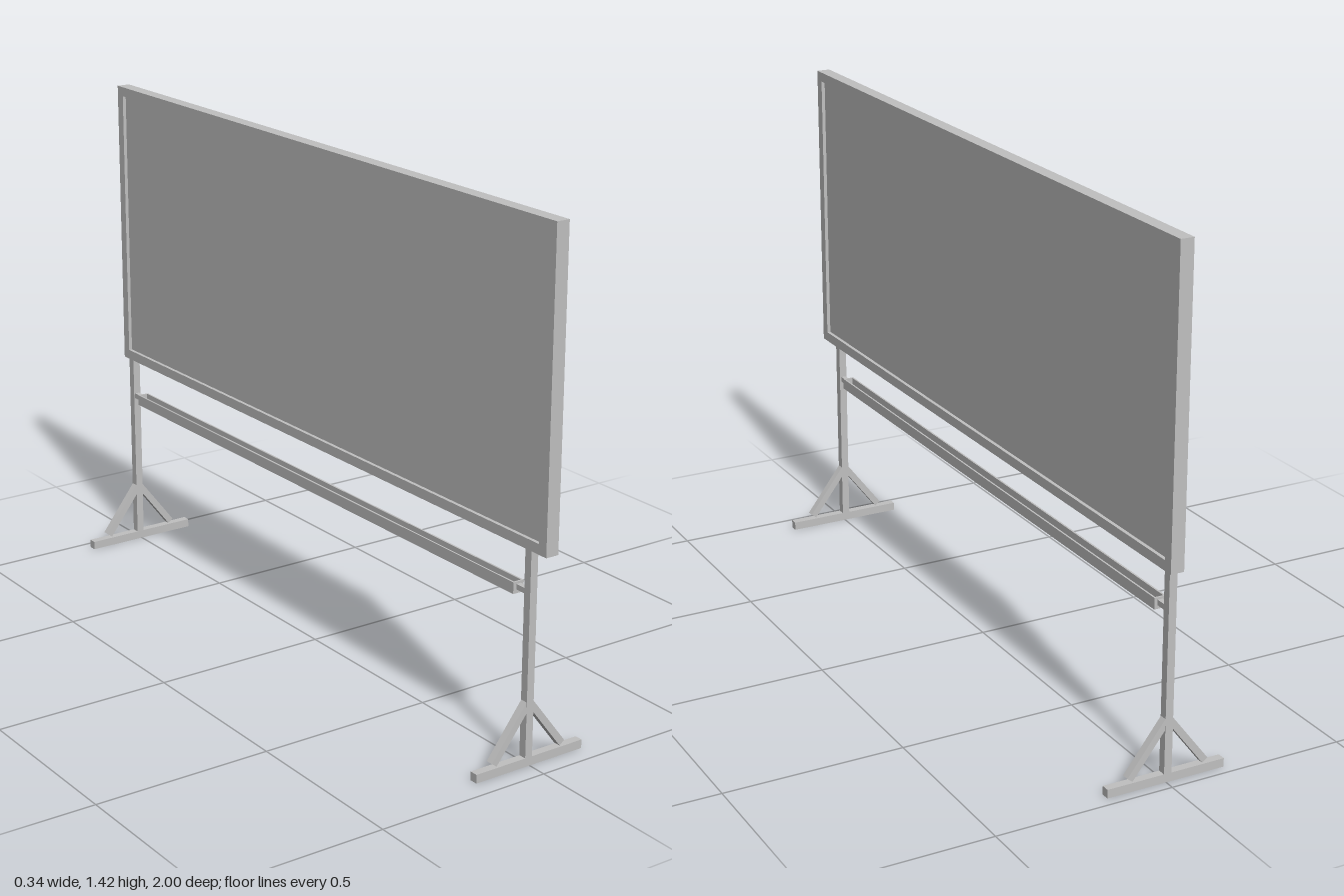
import * as THREE from 'three';

export function createModel() {
  const model = new THREE.Group();
  model.name = 'freestandingBoard';
  const grey = new THREE.MeshStandardMaterial({ color: 0xc0c0c0 });
  grey.name = 'plain grey';

  // box given by its minimum and maximum on each axis
  function box(name, parent, [x0, x1], [y0, y1], [z0, z1]) {
    const mesh = new THREE.Mesh(new THREE.BoxGeometry(x1 - x0, y1 - y0, z1 - z0), grey);
    mesh.position.set((x0 + x1) / 2, (y0 + y1) / 2, (z0 + z1) / 2);
    mesh.name = name;
    parent.add(mesh);
    return mesh;
  }

  function rectangle(target, w, y0, y1) {
    target.moveTo(-w, y0);
    target.lineTo(w, y0);
    target.lineTo(w, y1);
    target.lineTo(-w, y1);
    target.closePath();
    return target;
  }

  // board: a frame with the panel set back on both sides
  const board = new THREE.Group();
  board.name = 'board';
  model.add(board);
  const outline = rectangle(new THREE.Shape(), 1, 0.584, 1.423);
  outline.holes.push(rectangle(new THREE.Path(), 0.972, 0.612, 1.396));
  const frameGeometry = new THREE.ExtrudeGeometry(outline, { depth: 0.038, bevelEnabled: false });
  frameGeometry.rotateY(Math.PI / 2);
  const frame = new THREE.Mesh(frameGeometry, grey);
  frame.position.x = -0.015;
  frame.name = 'frame';
  board.add(frame);
  box('panel', board, [-0.005, 0.013], [0.61, 1.398], [-0.974, 0.974]);

  // two stands, each with a foot, a post and a pair of braces
  const postX = -0.004, half = 0.0115;
  const standZ = [0.933, -0.96];
  standZ.forEach((z, i) => {
    const stand = new THREE.Group();
    stand.name = i === 0 ? 'frontStand' : 'backStand';
    stand.position.z = z;
    model.add(stand);
    box('foot', stand, [-0.171, 0.171], [0, 0.024], [-half, half]);
    box('post', stand, [postX - 0.011, postX + 0.011], [0.024, 0.59], [-half, half]);
    for (const side of [-1, 1]) {
      const low = new THREE.Vector2(postX + side * 0.11, 0.033);
      const high = new THREE.Vector2(postX, 0.177);
      const length = low.distanceTo(high);
      const brace = new THREE.Mesh(new THREE.BoxGeometry(0.019, length, 0.021), grey);
      brace.position.set((low.x + high.x) / 2, (low.y + high.y) / 2, 0);
      brace.rotation.z = Math.atan2(low.x - high.x, high.y - low.y);
      brace.name = side < 0 ? 'rightBrace' : 'leftBrace';
      stand.add(brace);
    }
  });

  // tray: an open channel hung between the posts
  const tray = new THREE.Group();
  tray.name = 'tray';
  model.add(tray);
  const wall = 0.005, x0 = -0.022, x1 = 0.011, y0 = 0.453, y1 = 0.484;
  const ends = [-0.912, 0.888];
  box('trayFloor', tray, [x0, x1], [y0, y0 + wall], ends);
  box('trayRightWall', tray, [x0, x0 + wall], [y0 + wall, y1], ends);
  box('trayLeftWall', tray, [x1 - wall, x1], [y0 + wall, y1], ends);
  const inside = [x0 + wall, x1 - wall];
  box('trayFrontEnd', tray, inside, [y0 + wall, y1], [ends[1] - wall, ends[1]]);
  box('trayBackEnd', tray, inside, [y0 + wall, y1], [ends[0], ends[0] + wall]);
  box('frontBracket', tray, [-0.012, 0.002], [0.463, 0.478], [ends[1], standZ[0] - half]);
  box('backBracket', tray, [-0.012, 0.002], [0.463, 0.478], [standZ[1] + half, ends[0]]);

  return model;
}
